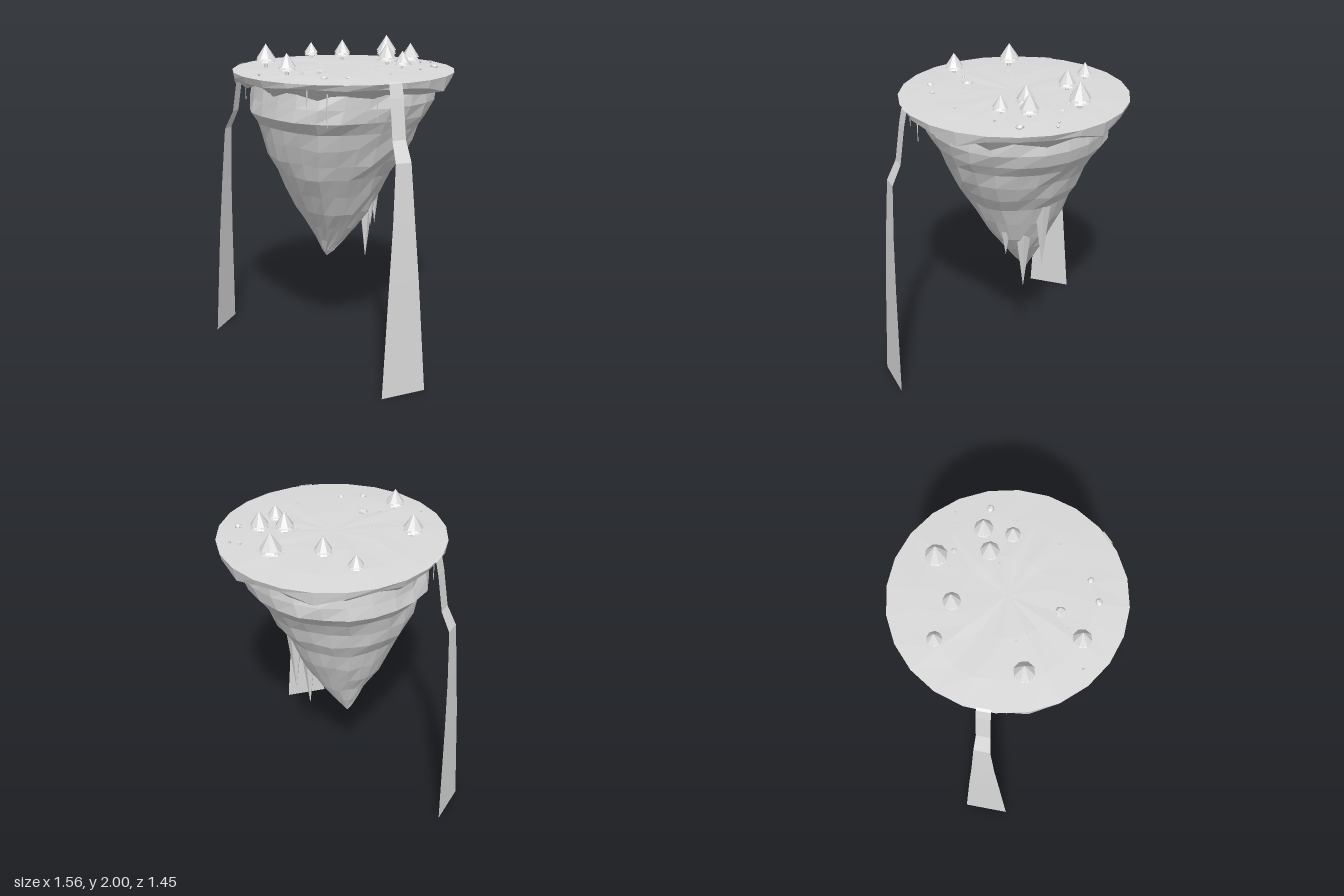
import * as THREE from 'three';

const stone = new THREE.MeshStandardMaterial({ color: 0xdadada, flatShading: true, side: THREE.DoubleSide });
stone.name = 'pale stone';

const CX = 0.09, CZ = -0.035, SEG = 24;

// small seeded generator for the rough rock
let seed = 11;
const rand = () => {
  seed = (seed * 16807) % 2147483647;
  return seed / 2147483647;
};
const jitter = (a) => (rand() * 2 - 1) * a;

function add(parent, name, geometry, x = 0, y = 0, z = 0) {
  const mesh = new THREE.Mesh(geometry, stone);
  mesh.name = name;
  mesh.position.set(x, y, z);
  parent.add(mesh);
  return mesh;
}

// joins rows of points (each row an array of [x, y, z]) into a faceted skin
function skin(rows, closed) {
  const n = rows[0].length, index = [];
  for (let r = 0; r < rows.length - 1; r++) {
    for (let i = 0; i < (closed ? n : n - 1); i++) {
      const j = (i + 1) % n, a = r * n, b = a + n;
      index.push(a + i, a + j, b + j, a + i, b + j, b + i);
    }
  }
  const g = new THREE.BufferGeometry();
  g.setAttribute('position', new THREE.Float32BufferAttribute(rows.flat(2), 3));
  g.setIndex(index);
  const flat = g.toNonIndexed();
  flat.computeVertexNormals();
  return flat;
}

// one ring of the island, given by its extents; pinch draws in the front diagonals
function ring(y, x0, x1, z0, z1, wobble = 0, drop = () => 0, pinch = 0) {
  const row = [];
  for (let i = 0; i < SEG; i++) {
    const a = (i / SEG) * Math.PI * 2;
    const k = 1 + jitter(wobble) - pinch * Math.max(0, Math.sin(a)) * Math.abs(Math.sin(2 * a));
    row.push([
      (x0 + x1) / 2 + Math.cos(a) * (x1 - x0) / 2 * k,
      y + drop(i),
      (z0 + z1) / 2 + Math.sin(a) * (z1 - z0) / 2 * k,
    ]);
  }
  return row;
}
const round = (y, r, wobble, drop) => ring(y, CX - r, CX + r, CZ - r, CZ + r, wobble, drop);

function tree(group, x, z, r, top) {
  const t = new THREE.Group(), base = 1.835, h = top - base;
  t.name = 'tree';
  t.position.set(x, base, z);
  add(t, 'trunk', new THREE.CylinderGeometry(r * 0.17, r * 0.22, h * 0.4, 6), 0, h * 0.2, 0);
  // a full crown over two shorter skirts of needles
  [[0.98, 0.24, 0.62], [0.97, 0.32, 0.8], [1, 0.4, 1]].forEach(([k, from, to], i) => {
    const tier = add(t, 'needles', new THREE.ConeGeometry(r * k, h * (to - from), 8), 0, h * (from + to) / 2, 0);
    tier.rotation.y = x * 7 + i * 0.39;
  });
  group.add(t);
}

// ribbon of water falling outwards in direction (dx, dz)
function waterfall(group, dx, dz) {
  const path = [[0.675, 1.838, 0.042], [0.692, 1.832, 0.042], [0.71, 1.75, 0.042], [0.745, 1.52, 0.043],
    [0.803, 1.4, 0.05], [0.825, 1.05, 0.071], [0.84, 0.7, 0.097], [0.861, 0, 0.143]];
  const rows = path.map(([r, y, w]) => [1, -1].map((s) =>
    [CX + dx * r + dz * w * s, y, CZ + dz * r - dx * w * s]));
  add(group, 'waterfall', skin(rows, false));
}

export function createModel() {
  const model = new THREE.Group();
  model.name = 'floatingIsland';

  // gently domed meadow
  add(model, 'meadow', skin([
    round(1.844, 0.001), round(1.845, 0.25, 0.05, () => jitter(0.003)),
    round(1.84, 0.5, 0.04, () => jitter(0.003)), round(1.829, 0.69),
  ], true));

  // overhanging lip with a ragged edge, sloping in to the rock
  const spurs = [1, 11, 17, 20];
  add(model, 'ragged lip', skin([
    round(1.829, 0.69),
    round(1.79, 0.675, 0.012, (i) => (spurs.includes(i) ? -0.05 : jitter(0.01))),
    ring(1.75, -0.53, 0.7, -0.64, 0.56, 0.015, (i) => (i % 2 ? 0.02 : -0.022) + jitter(0.01), 0.04),
    ring(1.74, -0.495, 0.665, -0.6, 0.515, 0, () => 0, 0.07),
  ], true));

  // tapering, terraced rock below: y, x range, z range
  const layers = [
    [1.745, -0.495, 0.665, -0.6, 0.515], [1.66, -0.505, 0.66, -0.605, 0.52], [1.575, -0.515, 0.62, -0.6, 0.52],
    [1.5, -0.455, 0.57, -0.535, 0.465], [1.4, -0.432, 0.53, -0.475, 0.42], [1.29, -0.395, 0.47, -0.44, 0.375],
    [1.19, -0.335, 0.395, -0.385, 0.33], [1.06, -0.285, 0.335, -0.335, 0.245], [0.93, -0.23, 0.265, -0.275, 0.165],
    [0.81, -0.15, 0.185, -0.215, 0.08], [0.7, -0.1, 0.095, -0.16, 0], [0.62, -0.06, 0.02, -0.115, -0.05],
  ];
  const rows = layers.map(([y, ...box], k) =>
    ring(y, ...box, 0.016, () => (k > 3 ? jitter(0.01) : 0), 0.07));
  rows.push(ring(0.57, -0.032, -0.03, -0.092, -0.09));
  add(model, 'rock', skin(rows, true));

  // hanging stone spikes: x, z, top, tip, radius
  [[0.223, -0.125, 0.96, 0.57, 0.048], [0.257, -0.25, 1.2, 0.77, 0.052], [0.275, -0.025, 1.08, 0.82, 0.04]]
    .forEach(([x, z, top, tip, r]) => {
      const spike = add(model, 'stone spike', new THREE.ConeGeometry(r, top - tip, 5), x, (top + tip) / 2, z);
      spike.rotation.x = Math.PI;
    });

  // dangling roots: x, z, top, bottom
  [[-0.535, 0.02, 1.79, 1.62], [-0.22, 0.5, 1.77, 1.67], [0.03, 0.6, 1.79, 1.64], [0.15, 0.605, 1.79, 1.58],
    [0.41, 0.47, 1.78, 1.6]].forEach(([x, z, top, low]) =>
    add(model, 'root', new THREE.CylinderGeometry(0.004, 0.002, top - low, 4), x, (top + low) / 2, z));

  waterfall(model, -0.996, -0.093);
  waterfall(model, 0.621, 0.784);

  // trees: x, z, radius, top
  [[-0.22, -0.41, 0.045, 1.945], [0.01, -0.34, 0.053, 1.975], [0.28, -0.46, 0.066, 2],
    [0.34, -0.16, 0.056, 1.98], [0.48, -0.21, 0.056, 1.98], [0.46, -0.04, 0.046, 1.95],
    [-0.37, 0.1, 0.061, 1.985], [-0.145, 0.4, 0.055, 1.97]].forEach((t) => tree(model, ...t));

  // boulders
  [[0.34, -0.37, 0.02], [0.635, -0.19, 0.026], [0.02, 0.27, 0.036], [0.1, 0.48, 0.025], [0.23, 0.425, 0.022]]
    .forEach(([x, z, r]) => {
      const b = add(model, 'boulder', new THREE.IcosahedronGeometry(r, 0), x, 1.84, z);
      b.scale.y = 0.7;
      b.rotation.y = x * 9;
    });

  // pebbles
  [[0.24, -0.39], [0.52, -0.385], [0.585, -0.39], [0.29, -0.095], [0.575, -0.035], [-0.18, 0.04],
    [-0.13, 0.095], [-0.075, 0.32], [-0.31, 0.42], [0.44, 0.23]].forEach(([x, z]) =>
    add(model, 'pebble', new THREE.DodecahedronGeometry(0.009), x, 1.843, z));

  return model;
}
